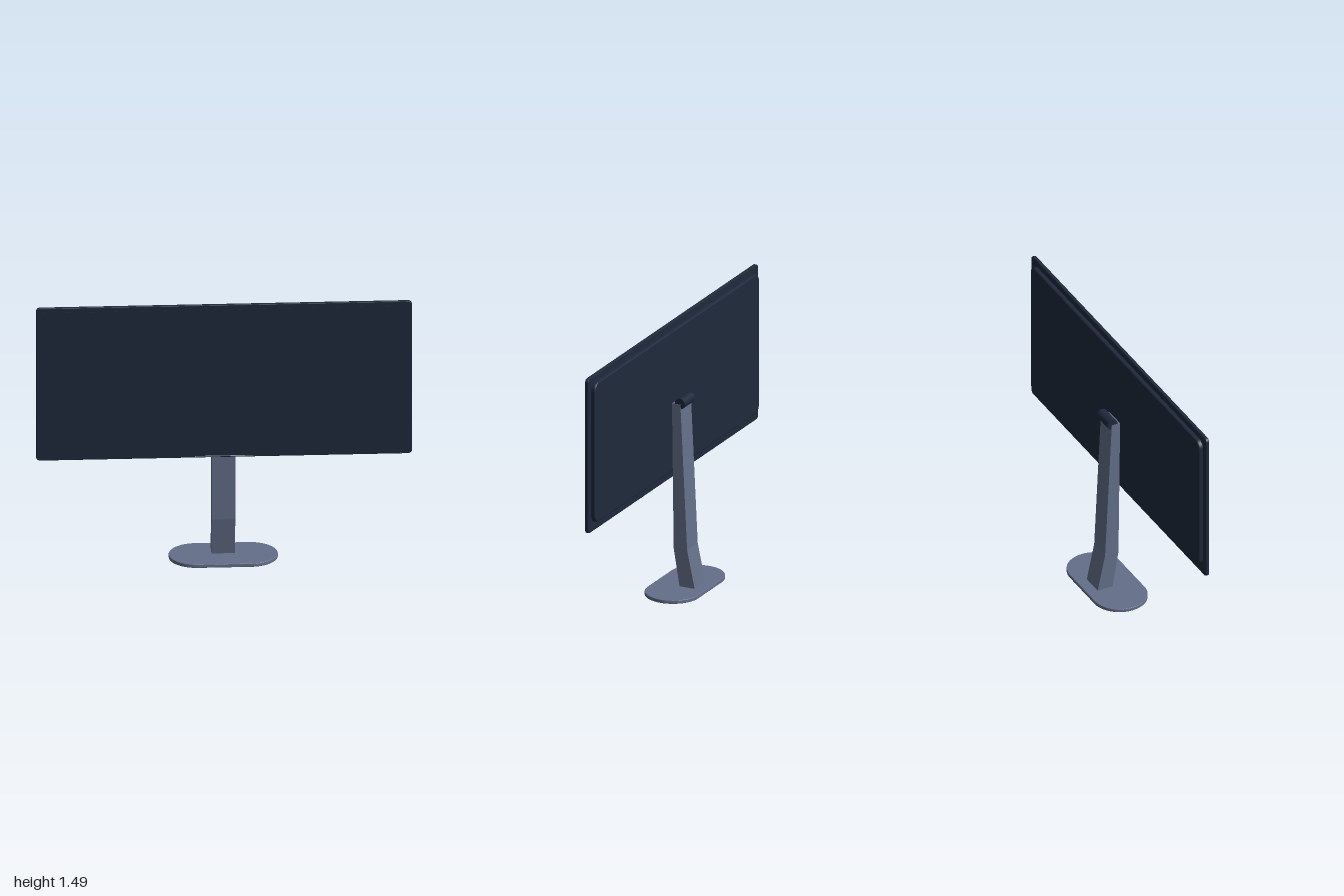
import * as THREE from 'three';

const mat = (name, color) => new THREE.MeshStandardMaterial({ name, color });

// Rounded rectangle centred on the origin
function roundedRect(w, h, r) {
  const x = w / 2 - r, y = h / 2 - r;
  const s = new THREE.Shape();
  s.absarc(x, y, r, 0, Math.PI / 2);
  s.absarc(-x, y, r, Math.PI / 2, Math.PI);
  s.absarc(-x, -y, r, Math.PI, Math.PI * 1.5);
  s.absarc(x, -y, r, Math.PI * 1.5, Math.PI * 2);
  s.closePath();
  return s;
}

// Rounded slab of full size w x h x d, with a small edge bevel, centred on the origin
function slab(w, h, d, r, bevel) {
  const geo = new THREE.ExtrudeGeometry(roundedRect(w - 2 * bevel, h - 2 * bevel, r - bevel), {
    depth: d - 2 * bevel, bevelEnabled: true, bevelSize: bevel,
    bevelThickness: bevel, bevelSegments: 3, curveSegments: 16,
  });
  return geo.translate(0, 0, -(d - 2 * bevel) / 2);
}

export function createModel() {
  const model = new THREE.Group();
  const navy = mat('dark navy', 0x1e293b);
  const grey = mat('slate grey', 0x64708a);
  const pale = mat('pale grey', 0x94a3b8);

  const add = (name, geo, material, x, y, z) => {
    const mesh = new THREE.Mesh(geo, material);
    mesh.name = name;
    mesh.position.set(x, y, z);
    model.add(mesh);
    return mesh;
  };

  // Display: front panel, screen face and raised rear shell
  add('frontPanel', slab(2, 0.875, 0.02, 0.022, 0.004), navy, 0, 1.0475, 0.079);
  add('screen', new THREE.BoxGeometry(1.93, 0.81, 0.002), navy, 0, 1.054, 0.089);
  add('rearShell', slab(1.93, 0.79, 0.03, 0.045, 0.008), navy, 0, 1.055, 0.06);

  // Thin chin trim and status light
  add('chinTrim', new THREE.BoxGeometry(0.31, 0.004, 0.002), pale, 0, 0.618, 0.0895);
  add('statusLight', new THREE.BoxGeometry(0.008, 0.004, 0.002), pale, 0.94, 0.618, 0.0895);

  // Stand: side profile (z, y) extruded across the width
  const profile = new THREE.Shape([
    [0, 0.018], [-0.09, 0.018], [-0.045, 0.23], [-0.005, 1.047], [0.045, 1.047], [0.035, 0.23],
  ].map(([z, y]) => new THREE.Vector2(z, y)));
  const neck = new THREE.ExtrudeGeometry(profile, { depth: 0.125, bevelEnabled: false });
  neck.translate(0, 0, -0.0625).rotateY(-Math.PI / 2);
  add('standNeck', neck, grey, 0, 0, 0);

  // Tilt hinge across the top of the neck
  add('hinge', new THREE.CylinderGeometry(0.03, 0.03, 0.12, 32).rotateZ(Math.PI / 2), navy, 0, 1.05, 0);

  // Foot plate
  add('base', slab(0.58, 0.3, 0.02, 0.149, 0.003).rotateX(-Math.PI / 2), grey, 0, 0.01, 0);

  return model;
}
